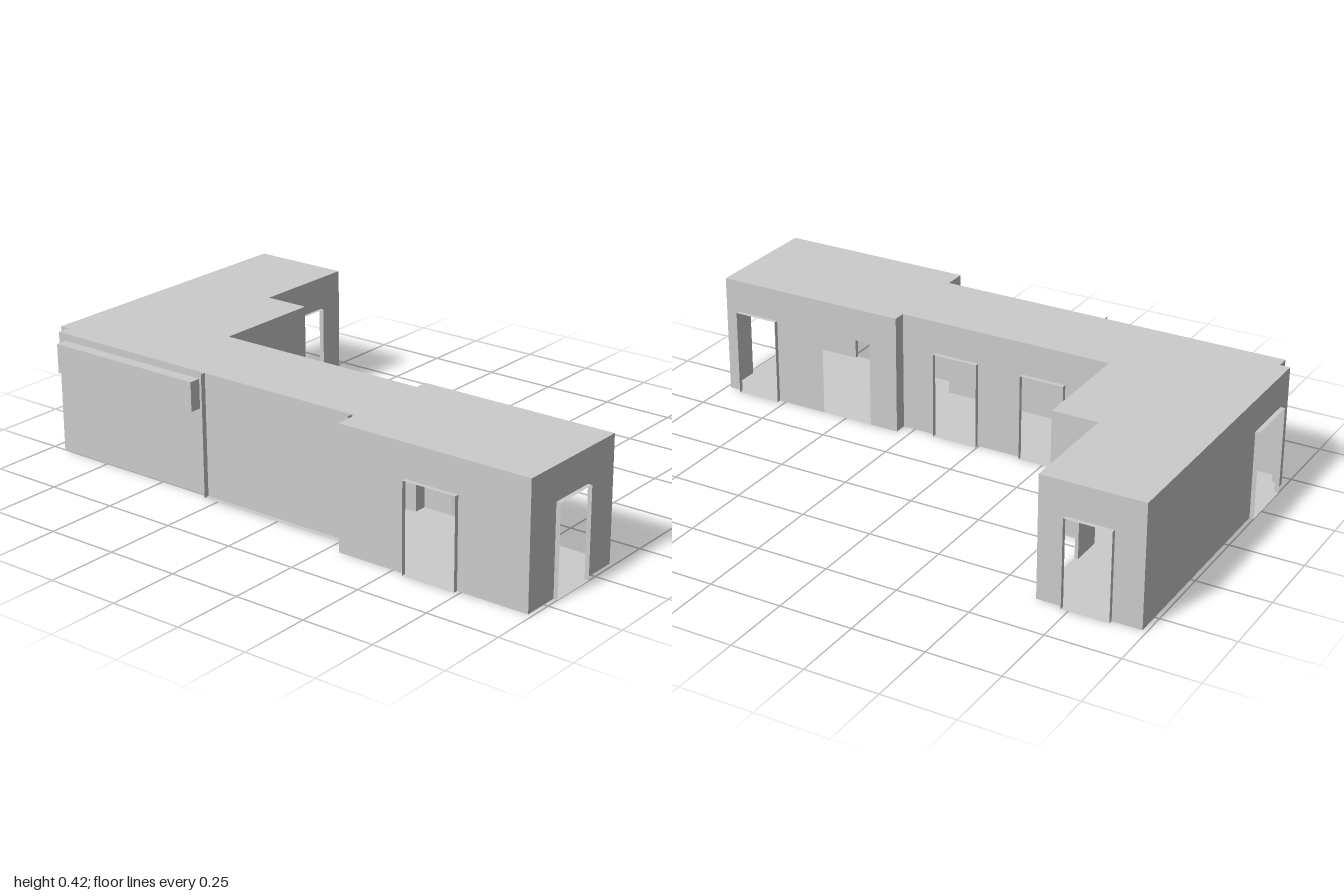
import * as THREE from 'three';

const H = 0.42, DOOR_H = 0.305;
const material = new THREE.MeshStandardMaterial({ color: 0xcccccc, side: THREE.DoubleSide, flatShading: true });

// Wall run as [x, z], front wall first, outward side on the right of travel.
// Each door is [start, end, frame depth] measured along its wall's own axis.
const corners = [
  { p: [-0.95, 0.50], name: 'corridorFrontWall', window: [-0.92, -0.33, 0.295, 0.395, 0.04] },
  { p: [0.295, 0.50], name: 'roomFrontReturn' },
  { p: [0.295, 0.58], name: 'roomFrontWall', doors: [[0.545, 0.735, 0.015]] },
  { p: [0.985, 0.58], name: 'roomEndWall', doors: [[0.45, 0.285, 0.015]] },
  { p: [0.985, 0.147], name: 'roomBackWall', doors: [[0.935, 0.775, 0.015], [0.59, 0.40, 0]] },
  { p: [0.295, 0.147], name: 'roomBackReturn' },
  { p: [0.295, 0.193], name: 'corridorBackWall', doors: [[0.17, 0.005, 0.015], [-0.16, -0.32, 0.015]] },
  { p: [-0.475, 0.193], name: 'hallSideWall' },
  { p: [-0.475, -0.20], name: 'hallBackReturn' },
  { p: [-0.635, -0.20], name: 'wingSideWall', doors: [[-0.312, -0.48, 0.012]] },
  { p: [-0.635, -0.583], name: 'wingBackWall', doors: [[-0.725, -0.885, 0.015]] },
  { p: [-0.985, -0.583], name: 'leftWall', doors: [[0.193, 0.395, 0.015]] },
  { p: [-0.985, 0.455], name: 'leftFrontReturn' },
  { p: [-0.95, 0.455], name: 'leftFrontStep' },
];

function add(parent, name, geometry, x = 0, y = 0, z = 0) {
  const mesh = new THREE.Mesh(geometry, material);
  mesh.name = name;
  mesh.position.set(x, y, z);
  parent.add(mesh);
  return mesh;
}

// Thin horizontal or upright sheets standing out from a wall
const shelf = (w, d) => new THREE.PlaneGeometry(w, d).rotateX(-Math.PI / 2);
const cheek = (d, h) => new THREE.PlaneGeometry(d, h).rotateY(Math.PI / 2);

// Four-sided sleeve lining an opening
function sleeve(parent, name, s, e, y0, y1, depth) {
  const g = new THREE.Group();
  g.name = name;
  for (const x of [s, e]) add(g, 'jamb', cheek(depth, y1 - y0), x, (y0 + y1) / 2, depth / 2);
  for (const y of [y0, y1]) add(g, y === y0 ? 'sill' : 'lintel', shelf(e - s, depth), (s + e) / 2, y, depth / 2);
  parent.add(g);
  return g;
}

function wall(a, b) {
  const dx = b.p[0] - a.p[0], dz = b.p[1] - a.p[1], length = Math.hypot(dx, dz);
  const axis = Math.abs(dx) > Math.abs(dz) ? 0 : 1;
  const along = v => Math.abs(v - a.p[axis]);
  const g = new THREE.Group();
  g.name = a.name;
  g.position.set(a.p[0], 0, a.p[1]);
  g.rotation.y = Math.atan2(-dz, dx);

  // Wall sheet, its foot notched by the doorways
  const shape = new THREE.Shape();
  shape.moveTo(0, 0);
  for (const [from, to, depth] of a.doors ?? []) {
    const s = along(from), e = along(to);
    shape.lineTo(s, 0).lineTo(s, DOOR_H).lineTo(e, DOOR_H).lineTo(e, 0);
    if (depth) sleeve(g, 'doorFrame', s, e, 0, DOOR_H, depth);
  }
  shape.lineTo(length, 0).lineTo(length, H).lineTo(0, H).closePath();

  // Long window niche pushed out of the wall
  if (a.window) {
    const [from, to, y0, y1, depth] = a.window;
    const s = along(from), e = along(to);
    const hole = new THREE.Path();
    hole.moveTo(s, y0).lineTo(s, y1).lineTo(e, y1).lineTo(e, y0).closePath();
    shape.holes.push(hole);
    const niche = sleeve(g, 'windowNiche', s, e, y0, y1, depth);
    add(niche, 'windowPane', new THREE.PlaneGeometry(e - s, y1 - y0), (s + e) / 2, (y0 + y1) / 2, depth);
  }
  add(g, 'wallSheet', new THREE.ShapeGeometry(shape));
  return g;
}

export function createModel() {
  const model = new THREE.Group();
  model.name = 'corridorBuilding';

  // Floor and flat roof share the plan
  const plan = new THREE.Shape(corners.map(({ p }) => new THREE.Vector2(p[0], -p[1])));
  const slab = new THREE.ShapeGeometry(plan).rotateX(-Math.PI / 2);
  add(model, 'floor', slab);
  add(model, 'roof', slab, 0, H, 0);

  corners.forEach((c, i) => model.add(wall(c, corners[(i + 1) % corners.length])));

  // Shallow bay trim along the corridor front
  const x0 = -0.305, x1 = 0.283, d = 0.018;
  const bay = new THREE.Group();
  bay.name = 'frontBayTrim';
  add(bay, 'bayFloor', shelf(x1 - x0, d), (x0 + x1) / 2, 0, 0.5 + d / 2);
  for (const x of [x0, x1]) add(bay, 'bayCheek', cheek(d, H), x, H / 2, 0.5 + d / 2);
  model.add(bay);

  return model;
}
